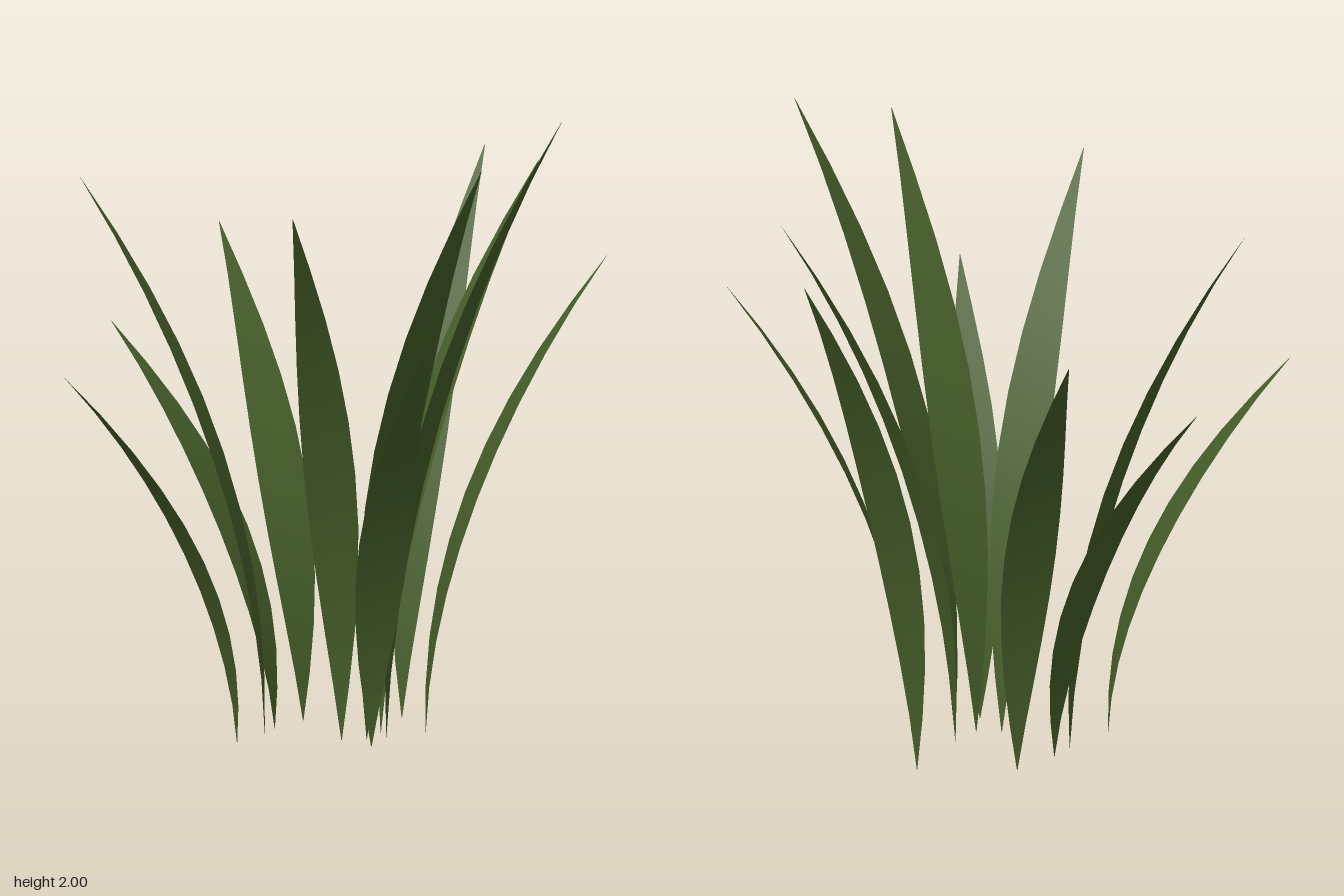
import * as THREE from 'three';

const SEGMENTS = 10;
const HALF_WIDTH = 0.084;

// Each blade: base x, base z, tip x, tip height, tip z
const BLADES = [
  [0.295, -0.27, 0.66, 1.74, -0.735],
  [-0.02, -0.28, -0.17, 1.505, -0.85],
  [-0.14, -0.145, -0.58, 1.25, -0.55],
  [-0.19, -0.06, -0.735, 1.755, -0.29],
  [-0.315, 0.11, -0.89, 1.2, 0.21],
  [0.02, 0.115, -0.25, 1.755, 0.65],
  [0.085, 0.26, 0.135, 1.345, 0.845],
  [0.1, 0.12, 0.355, 1.89, 0.66],
  [0.168, 0.095, 0.665, 2.0, 0.42],
  [0.305, 0.045, 0.89, 1.505, 0.04],
  [0.168, 0.01, 0.72, 1.775, -0.2],
];

// A flat leaf that rises straight, arches outward along +z and is pointed at both ends
function bladeGeometry(height, reach) {
  const geometry = new THREE.PlaneGeometry(2, 1, 2, SEGMENTS);
  const p = geometry.attributes.position;
  for (let i = 0; i < p.count; i++) {
    const t = p.getY(i) + 0.5;
    const half = Math.max(0.001, HALF_WIDTH * Math.sin(Math.PI * t));
    p.setXYZ(i, p.getX(i) * half, t * height, t * t * reach);
  }
  geometry.computeVertexNormals();
  return geometry;
}

export function createModel() {
  const group = new THREE.Group();
  group.name = 'grassTuft';
  const leafGreen = new THREE.MeshStandardMaterial({ color: 0x455e29, side: THREE.DoubleSide });
  leafGreen.name = 'leafGreen';

  BLADES.forEach(([bx, bz, tx, height, tz], i) => {
    const dx = tx - bx, dz = tz - bz;
    const blade = new THREE.Mesh(bladeGeometry(height, Math.hypot(dx, dz)), leafGreen);
    blade.name = `blade${i + 1}`;
    blade.position.set(bx, 0, bz);
    blade.rotation.y = Math.atan2(dx, dz);
    group.add(blade);
  });
  return group;
}
